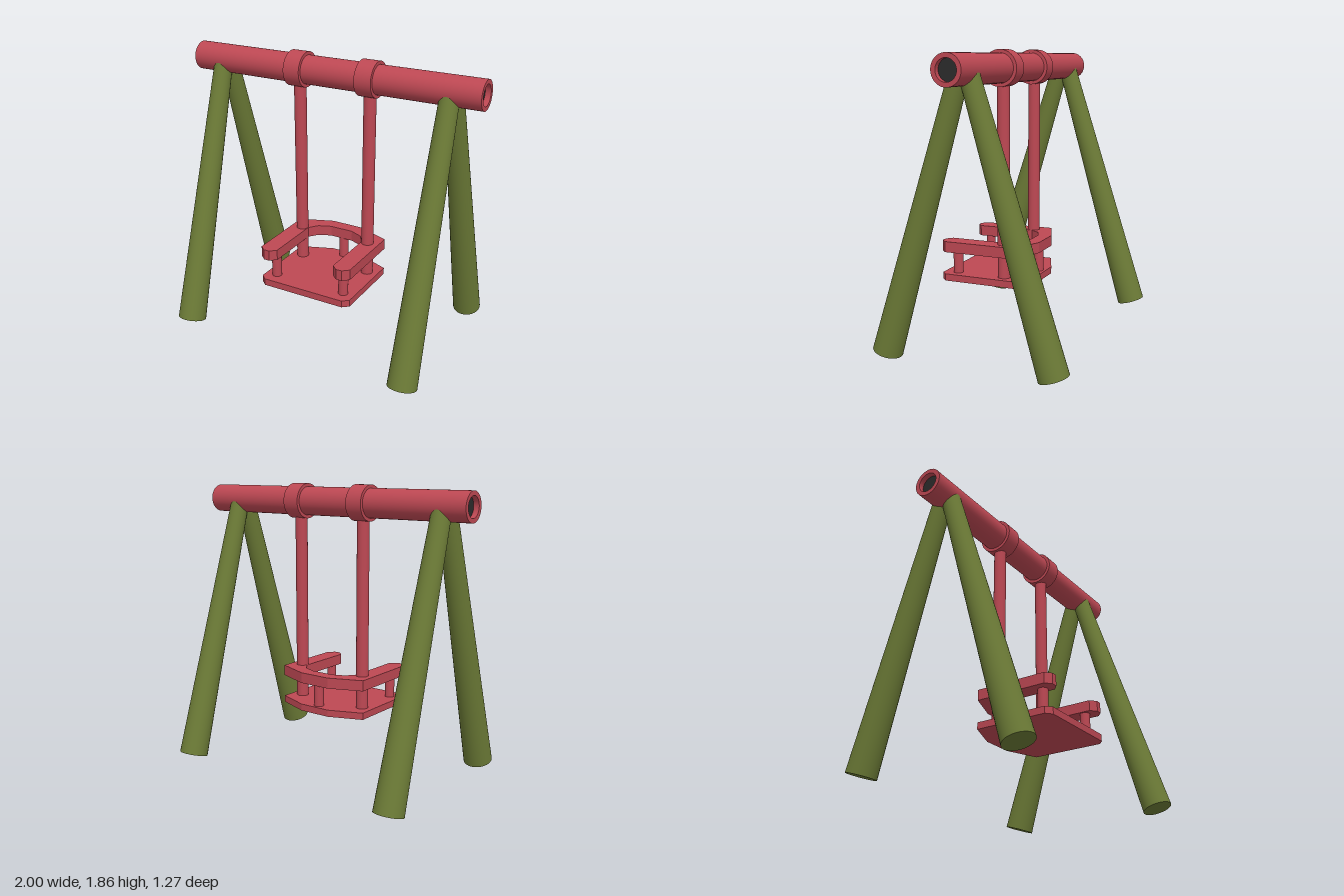
import * as THREE from 'three';

export function createModel() {
  const red = new THREE.MeshStandardMaterial({ name: 'red paint', color: 0xbd4853 });
  const olive = new THREE.MeshStandardMaterial({ name: 'olive paint', color: 0x6b7a36 });
  const dark = new THREE.MeshStandardMaterial({ name: 'dark plug', color: 0x2b2b2b });
  const model = new THREE.Group();
  model.name = 'swing';

  const add = (name, geometry, material, x = 0, y = 0, z = 0) => {
    const mesh = new THREE.Mesh(geometry, material);
    mesh.name = name;
    mesh.position.set(x, y, z);
    model.add(mesh);
    return mesh;
  };
  const beamY = 1.745, midX = 0.0125;

  // Ring turned about the x axis: outer and inner radius, half length.
  const ring = (R, r, h) => {
    const face = (r1, h1, r2, h2) => [new THREE.Vector2(r1, h1), new THREE.Vector2(r2, h2)];
    return [face(r, -h, R, -h), face(R, -h, R, h), face(R, h, r, h), face(r, h, r, -h)]
      .map((p) => new THREE.LatheGeometry(p, 40).rotateZ(-Math.PI / 2));
  };

  // Crossbeam, hollow at both ends, with recessed dark plugs
  ring(0.093, 0.065, 1).forEach((g) => add('crossbeam', g, red, 0, beamY, 0));
  for (const s of [-1, 1]) {
    add('beamPlug', new THREE.CircleGeometry(0.066, 40).rotateY(s * Math.PI / 2), dark, s * 0.965, beamY, 0);
  }

  // Splayed, tapered legs
  const up = new THREE.Vector3(0, 1, 0);
  for (const x of [-0.8125, 0.79]) {
    for (const s of [-1, 1]) {
      const foot = new THREE.Vector3(x, 0.03, s * 0.545);
      const top = new THREE.Vector3(x, 1.725, s * 0.03);
      const axis = top.clone().sub(foot);
      const leg = add('leg', new THREE.CylinderGeometry(0.06, 0.094, axis.length(), 32), olive);
      leg.position.copy(foot).add(top).multiplyScalar(0.5);
      leg.quaternion.setFromUnitVectors(up, axis.normalize());
    }
  }

  // Collars, hanger posts and front armrest supports
  for (const s of [-1, 1]) {
    const x = midX + s * 0.25;
    ring(0.114, 0.09, 0.057).forEach((g) => add('collar', g, red, x, beamY, 0));
    add('hangerPost', new THREE.CylinderGeometry(0.04, 0.04, 1.27, 24), red, x, 1.035, 0);
    add('armSupport', new THREE.CylinderGeometry(0.032, 0.032, 0.18, 20), red, x, 0.495, 0.327);
  }
  add('backSupport', new THREE.CylinderGeometry(0.032, 0.032, 0.18, 20), red, midX, 0.495, -0.137);

  // Mirrored outline in x and z, extruded upwards from y
  const slab = (name, half, y, height) => {
    const points = [...half, ...half.slice().reverse().map(([x, z]) => [-x, z])]
      .map(([x, z]) => new THREE.Vector2(x, -z));
    const geometry = new THREE.ExtrudeGeometry(new THREE.Shape(points), { depth: height, bevelEnabled: false });
    add(name, geometry.rotateX(-Math.PI / 2), red, midX, y, 0);
  };
  const side = [[0.328, 0.385], [0.328, -0.1], [0.11, -0.185]];

  // Seat board and U-shaped armrest
  slab('seat', [[0.288, 0.42], ...side], 0.375, 0.045);
  slab('armrest', [
    [0.08, -0.1], [0.163, -0.065], [0.208, -0.005], [0.208, 0.385],
    [0.248, 0.42], [0.288, 0.42], ...side,
  ], 0.565, 0.07);

  return model;
}
